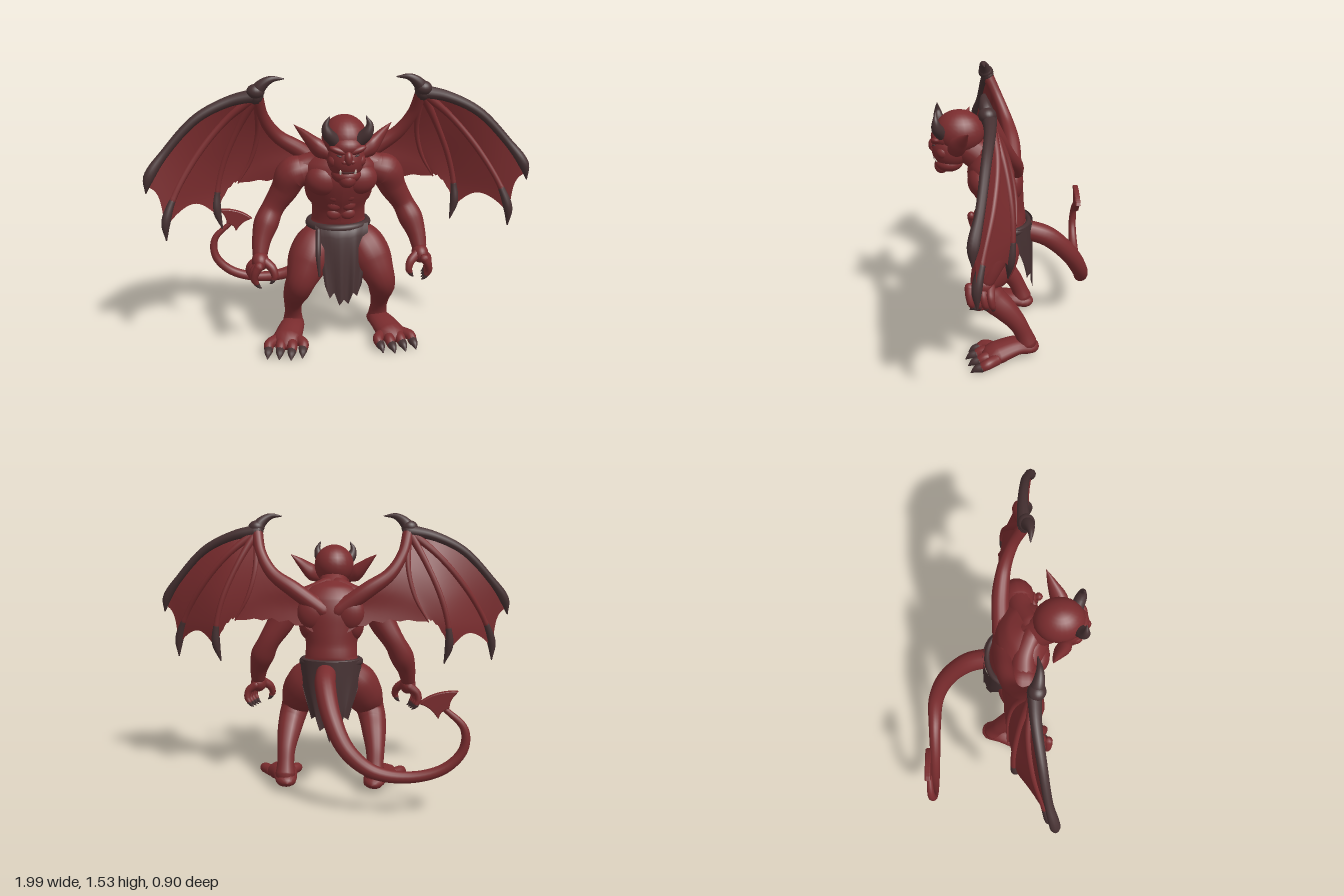
import * as THREE from 'three';

const paint = (name, color) => {
  const m = new THREE.MeshStandardMaterial({ color, side: THREE.DoubleSide });
  m.name = name;
  return m;
};
const V = (x, y, z) => new THREE.Vector3(x, y, z);
const pathOf = pts => new THREE.CatmullRomCurve3(pts.map(p => V(p[0], p[1], p[2])));

// Round-ended limb through points [x, y, z, radius], optionally squashed, over t0..t1
function sweep(pts, flat = [1, 1, 1], t0 = 0, t1 = 1, sides = 16) {
  const path = pathOf(pts), radii = new THREE.CatmullRomCurve3(pts.map((p, i) => V(p[3], i, 0)));
  const steps = pts.length * 6, pos = [], idx = [], rings = [];
  for (let i = 0; i <= steps; i++) {
    const t = t0 + (t1 - t0) * i / steps;
    const ring = { c: path.getPoint(t), d: path.getTangent(t), r: Math.max(radii.getPoint(t).x, 0.002) };
    if (i === 0) for (const a of [89, 60, 30]) rings.push(cap(ring, -a));
    rings.push(ring);
    if (i === steps) for (const a of [30, 60, 89]) rings.push(cap(ring, a));
  }
  function cap({ c, d, r }, deg) {
    const a = THREE.MathUtils.degToRad(deg);
    return { c: c.clone().addScaledVector(d, r * Math.sin(a)), d, r: r * Math.cos(a) };
  }
  const n = Math.abs(rings[0].d.y) < 0.8 ? V(0, 1, 0) : V(0, 0, 1);
  rings.forEach(({ c, d, r }, i) => {
    n.addScaledVector(d, -n.dot(d)).normalize();
    const b = d.clone().cross(n);
    for (let j = 0; j < sides; j++) {
      const a = j / sides * Math.PI * 2, u = Math.cos(a) * r, v = Math.sin(a) * r;
      pos.push(c.x + (n.x * u + b.x * v) * flat[0], c.y + (n.y * u + b.y * v) * flat[1], c.z + (n.z * u + b.z * v) * flat[2]);
      if (i) {
        const k = (j + 1) % sides, p = (i - 1) * sides, q = i * sides;
        idx.push(p + j, p + k, q + j, p + k, q + k, q + j);
      }
    }
  });
  return surface(pos, idx);
}

function surface(pos, idx) {
  const g = new THREE.BufferGeometry();
  g.setAttribute('position', new THREE.Float32BufferAttribute(pos, 3));
  g.setIndex(idx);
  g.computeVertexNormals();
  return g;
}

// Thin sheet from a rule f(u, v)
function sheet(f, nu, nv) {
  const pos = [], idx = [];
  for (let i = 0; i <= nu; i++) for (let j = 0; j <= nv; j++) {
    pos.push(...f(i / nu, j / nv).toArray());
    if (i && j) {
      const d = i * (nv + 1) + j, c = d - 1, b = d - nv - 1, a = b - 1;
      idx.push(a, b, c, b, d, c);
    }
  }
  return surface(pos, idx);
}

const zigzag = (u, n) => Math.abs(((u * n) % 1) * 2 - 1);

export function createModel() {
  const red = paint('red skin', 0x7a2c2e), dark = paint('dark horn and cloth', 0x463132), ivory = paint('ivory', 0xe6ddd0);
  const model = new THREE.Group();
  const add = (name, geo, mat = red) => {
    const m = new THREE.Mesh(geo, mat);
    m.name = name;
    model.add(m);
    return m;
  };
  const ball = (name, [x, y, z], [a, b, c], mat = red, rz = 0) => {
    const m = add(name, new THREE.SphereGeometry(1, 24, 16), mat);
    m.position.set(x, y, z);
    m.scale.set(a, b, c);
    m.rotation.z = rz;
  };

  // Torso from oval sections: [y, centre z, half width, half depth]
  const sections = [[0.6, 0.05, 0.09, 0.09], [0.67, 0.045, 0.145, 0.11], [0.74, 0.045, 0.145, 0.11], [0.81, 0.06, 0.142, 0.115],
    [0.9, 0.085, 0.168, 0.135], [1, 0.105, 0.205, 0.145], [1.07, 0.11, 0.19, 0.13], [1.13, 0.12, 0.12, 0.09], [1.16, 0.13, 0.03, 0.03]];
  const centre = pathOf(sections.map(s => [0, s[0], s[1]])), size = pathOf(sections.map(s => [s[2], 0, s[3]]));
  add('torso', sheet((v, u) => {
    const c = centre.getPoint(v), r = size.getPoint(v), a = u * Math.PI * 2;
    return V(r.x * Math.sin(a), c.y, c.z + r.z * Math.cos(a));
  }, 40, 32));
  add('neck', sweep([[0, 1.02, 0.1, 0.1], [0, 1.1, 0.18, 0.085], [0, 1.17, 0.27, 0.08]]));

  // Head
  ball('skull', [0, 1.237, 0.285], [0.113, 0.117, 0.13]);
  ball('forehead', [0, 1.215, 0.35], [0.088, 0.06, 0.085]);
  ball('face', [0, 1.15, 0.335], [0.094, 0.105, 0.1]);
  ball('muzzle', [0, 1.125, 0.38], [0.058, 0.036, 0.048]);
  ball('jaw', [0, 1.07, 0.345], [0.074, 0.048, 0.075]);
  ball('chin', [0, 1.052, 0.385], [0.044, 0.042, 0.038]);
  ball('nose', [0, 1.168, 0.425], [0.021, 0.036, 0.025]);
  ball('mouth', [0, 1.096, 0.39], [0.045, 0.005, 0.036], dark);

  for (const s of [1, -1]) {
    const side = s > 0 ? 'left' : 'right';
    const m = pts => pts.map(([x, ...rest]) => [x * s, ...rest]);
    const limb = (name, pts, mat, ...rest) => add(side + ' ' + name, sweep(m(pts), ...rest), mat);
    const lump = (name, [x, y, z], r, mat, rz = 0) => ball(side + ' ' + name, [x * s, y, z], r, mat, rz * s);

    // Face details, ears and horns
    lump('brow', [0.042, 1.203, 0.405], [0.05, 0.019, 0.028], red, 0.35);
    lump('eye', [0.04, 1.178, 0.415], [0.017, 0.005, 0.012], dark, 0.3);
    lump('cheekbone', [0.06, 1.145, 0.37], [0.033, 0.035, 0.036]);
    lump('nostril', [0.02, 1.15, 0.422], [0.015, 0.012, 0.015]);
    limb('tusk', [[0.036, 1.09, 0.408, 0.006], [0.037, 1.102, 0.415, 0.005], [0.037, 1.112, 0.416, 0.002]], ivory, [1, 1, 1], 0, 1, 8);
    limb('ear', [[0.095, 1.175, 0.315, 0.04], [0.14, 1.2, 0.295, 0.054], [0.19, 1.247, 0.265, 0.034], [0.243, 1.297, 0.235, 0.003]], red, [0.4, 1, 0.8]);
    limb('horn', [[0.06, 1.245, 0.375, 0.034], [0.095, 1.285, 0.395, 0.029], [0.105, 1.325, 0.4, 0.017], [0.088, 1.366, 0.4, 0.003]], dark);

    // Muscles
    lump('chest muscle', [0.088, 0.995, 0.175], [0.1, 0.085, 0.073]);
    lump('side muscle', [0.12, 0.93, 0.065], [0.062, 0.1, 0.085]);
    lump('shoulder blade', [0.1, 0.99, 0.01], [0.085, 0.1, 0.055]);
    lump('buttock', [0.075, 0.64, 0.005], [0.08, 0.08, 0.07]);
    for (let i = 0; i < 3; i++) lump('belly muscle', [0.036, 0.91 - i * 0.055, 0.196 - i * 0.019], [0.04, 0.033, 0.022]);
    limb('neck muscle', [[0.03, 1.12, 0.15, 0.055], [0.12, 1.075, 0.11, 0.06], [0.22, 1.03, 0.1, 0.07]]);

    // Arm and hand
    limb('arm', [[0.19, 1.03, 0.1, 0.08], [0.245, 1.01, 0.095, 0.088], [0.29, 0.92, 0.075, 0.073], [0.352, 0.82, 0.065, 0.06],
      [0.392, 0.74, 0.09, 0.066], [0.42, 0.66, 0.125, 0.051], [0.432, 0.59, 0.155, 0.04]]);
    lump('palm', [0.432, 0.56, 0.175], [0.045, 0.052, 0.058]);
    for (let i = 0; i < 4; i++) {
      const z = 0.125 + i * 0.036, x = 0.478 - i * 0.008;
      limb('finger', [[0.44, 0.555, z + 0.012, 0.024], [x + 0.006, 0.52, z + 0.012, 0.021], [x + 0.014, 0.48, z + 0.006, 0.018], [x + 0.002, 0.455, z, 0.014]], red, [1, 1, 1], 0, 1, 10);
      limb('finger claw', [[x + 0.002, 0.453, z, 0.0145], [x - 0.01, 0.437, z, 0.009], [x - 0.024, 0.428, z, 0.002]], dark, [1, 1, 1], 0, 1, 8);
    }
    limb('thumb', [[0.41, 0.565, 0.195, 0.026], [0.37, 0.53, 0.22, 0.023], [0.36, 0.49, 0.232, 0.018], [0.368, 0.475, 0.232, 0.014]], red, [1, 1, 1], 0, 1, 10);
    limb('thumb claw', [[0.368, 0.473, 0.232, 0.0145], [0.376, 0.458, 0.232, 0.009], [0.387, 0.449, 0.23, 0.002]], dark, [1, 1, 1], 0, 1, 8);

    // Leg, foot, toes and claws
    limb('leg', [[0.085, 0.67, 0.045, 0.08], [0.132, 0.6, 0.085, 0.113], [0.175, 0.52, 0.125, 0.113], [0.215, 0.43, 0.16, 0.083],
      [0.232, 0.37, 0.13, 0.076], [0.243, 0.3, 0.06, 0.066], [0.25, 0.22, -0.005, 0.052], [0.25, 0.15, -0.04, 0.048], [0.25, 0.09, -0.06, 0.056]]);
    limb('foot', [[0.245, 0.063, -0.07, 0.06], [0.26, 0.075, 0.0, 0.07], [0.295, 0.054, 0.11, 0.082]], red, [1, 0.65, 1]);
    for (let i = 0; i < 4; i++) {
      const x = 0.21 + i * 0.063, z = 0.225 - Math.abs(i - 1) * 0.015;
      limb('toe', [[0.25 + i * 0.035, 0.05, 0.11, 0.032], [x, 0.05, z - 0.035, 0.029], [x + 0.005, 0.033, z, 0.024]]);
      limb('toe claw', [[x + 0.005, 0.036, z - 0.005, 0.026], [x + 0.01, 0.03, z + 0.027, 0.019], [x + 0.014, 0.012, z + 0.053, 0.004]], dark, [1, 1, 1], 0, 1, 10);
    }

    // Wing bones
    const wrist = [0.42, 1.43, 0.13];
    const arm = [[0.04, 1.0, 0.0, 0.045], [0.2, 1.115, 0.005, 0.045], [0.32, 1.2, 0.03, 0.036], [0.39, 1.31, 0.075, 0.03], [...wrist, 0.032]];
    const fingers = [
      [[...wrist, 0.036], [0.55, 1.405, 0.13, 0.028], [0.72, 1.325, 0.15, 0.024], [0.88, 1.165, 0.18, 0.022], [0.965, 1.05, 0.21, 0.027], [0.985, 0.97, 0.215, 0.004]],
      [[...wrist, 0.025], [0.58, 1.3, 0.1, 0.018], [0.73, 1.13, 0.12, 0.017], [0.85, 0.94, 0.17, 0.016], [0.9, 0.81, 0.2, 0.024], [0.905, 0.71, 0.2, 0.004]],
      [[...wrist, 0.025], [0.52, 1.25, 0.07, 0.017], [0.6, 1.07, 0.04, 0.016], [0.64, 0.92, 0.035, 0.016], [0.648, 0.81, 0.045, 0.023], [0.625, 0.71, 0.055, 0.004]],
      [[...wrist, 0.022], [0.42, 1.22, 0.045, 0.014], [0.46, 1.07, 0.015, 0.011], [0.53, 0.945, 0.01, 0.004]]];
    limb('wing arm', arm);
    limb('wing thumb claw', [[0.425, 1.42, 0.13, 0.036], [0.405, 1.47, 0.145, 0.032], [0.35, 1.51, 0.155, 0.018], [0.285, 1.512, 0.15, 0.003]], dark);
    lump('wing knuckle', [0.425, 1.45, 0.14], [0.045, 0.038, 0.042], dark);
    fingers.forEach((f, i) => {
      const split = [0, 0.64, 0.62, 1][i];
      if (split) limb('wing finger', f, red, [1, 1, 1], 0, split, 10);
      if (split < 1) limb('wing finger tip', f, dark, [1, 1, 1], split, 1, 10);
    });

    // Wing skin stretched between neighbouring bones, scalloped at the free edge
    const bodyEdge = [...arm].reverse().concat([[0.06, 0.87, -0.035]]);
    const edges = [...fingers, bodyEdge].map(f => pathOf(m(f)));
    const reach = [0.92, 0.86, 0.86, 1, 1], dip = [0.13, 0.19, 0.16, 0.06];
    for (let i = 0; i < 4; i++) {
      add(side + ' wing skin', sheet((u, v) => {
        const ragged = i > 1 ? 0.035 * zigzag(u, 5) * Math.sin(u * Math.PI) : 0;
        const cut = 1 - dip[i] * 4 * u * (1 - u) - ragged;
        const a = edges[i].getPoint(v * reach[i] * cut), b = edges[i + 1].getPoint(v * reach[i + 1] * cut);
        return a.lerp(b, u);
      }, 30, 24));
    }
  }

  // Tail with arrow tip
  add('tail', sweep([[0.02, 0.68, -0.05, 0.055], [0.015, 0.625, -0.19, 0.056], [-0.03, 0.48, -0.325, 0.051], [-0.11, 0.335, -0.395, 0.045], [-0.24, 0.235, -0.413, 0.037],
    [-0.43, 0.21, -0.415, 0.03], [-0.6, 0.26, -0.415, 0.027], [-0.69, 0.36, -0.415, 0.024], [-0.69, 0.47, -0.42, 0.02], [-0.59, 0.57, -0.42, 0.014]]));
  const tip = new THREE.Shape();
  tip.moveTo(-0.61, 0.575);
  tip.quadraticCurveTo(-0.61, 0.62, -0.65, 0.655);
  tip.quadraticCurveTo(-0.54, 0.655, -0.47, 0.595);
  tip.quadraticCurveTo(-0.53, 0.58, -0.56, 0.525);
  tip.quadraticCurveTo(-0.565, 0.56, -0.61, 0.575);
  add('tail tip', new THREE.ExtrudeGeometry(tip, { depth: 0.016, bevelThickness: 0.008, bevelSize: 0.005, bevelSegments: 2 })).position.z = -0.428;

  // Belt and ragged loincloth
  const belt = add('belt', new THREE.TorusGeometry(1, 0.13, 10, 48), dark);
  belt.rotation.x = Math.PI / 2;
  belt.scale.set(0.158, 0.124, 0.17);
  belt.position.set(0, 0.718, 0.045);
  add('front cloth', sheet((u, v) => {
    const bottom = 0.285 + 0.08 * Math.abs(u - 0.5) * 2 + 0.05 * zigzag(u, 4);
    const x = (u - 0.47) * THREE.MathUtils.lerp(0.29, 0.2, v);
    return V(x, THREE.MathUtils.lerp(0.73, bottom, v), 0.17 + 0.07 * Math.sqrt(v) - x * x * 2 + 0.007 * Math.sin(u * 19) * v);
  }, 32, 14), dark);
  add('back cloth', sheet((u, v) => {
    const bottom = 0.29 + 0.15 * Math.abs(u - 0.5) * 2 + 0.05 * zigzag(u, 5);
    const a = (u - 0.5) * THREE.MathUtils.lerp(3.3, 1.6, v);
    return V(0.17 * Math.sin(a), THREE.MathUtils.lerp(0.735, bottom, v), 0.04 - 0.142 * Math.cos(a) + 0.006 * Math.sin(u * 23) * v);
  }, 40, 14), dark);
  add('belt tassel', sweep([[-0.12, 0.71, 0.16, 0.014], [-0.128, 0.6, 0.215, 0.014], [-0.125, 0.48, 0.235, 0.005]]), dark);

  return model;
}
